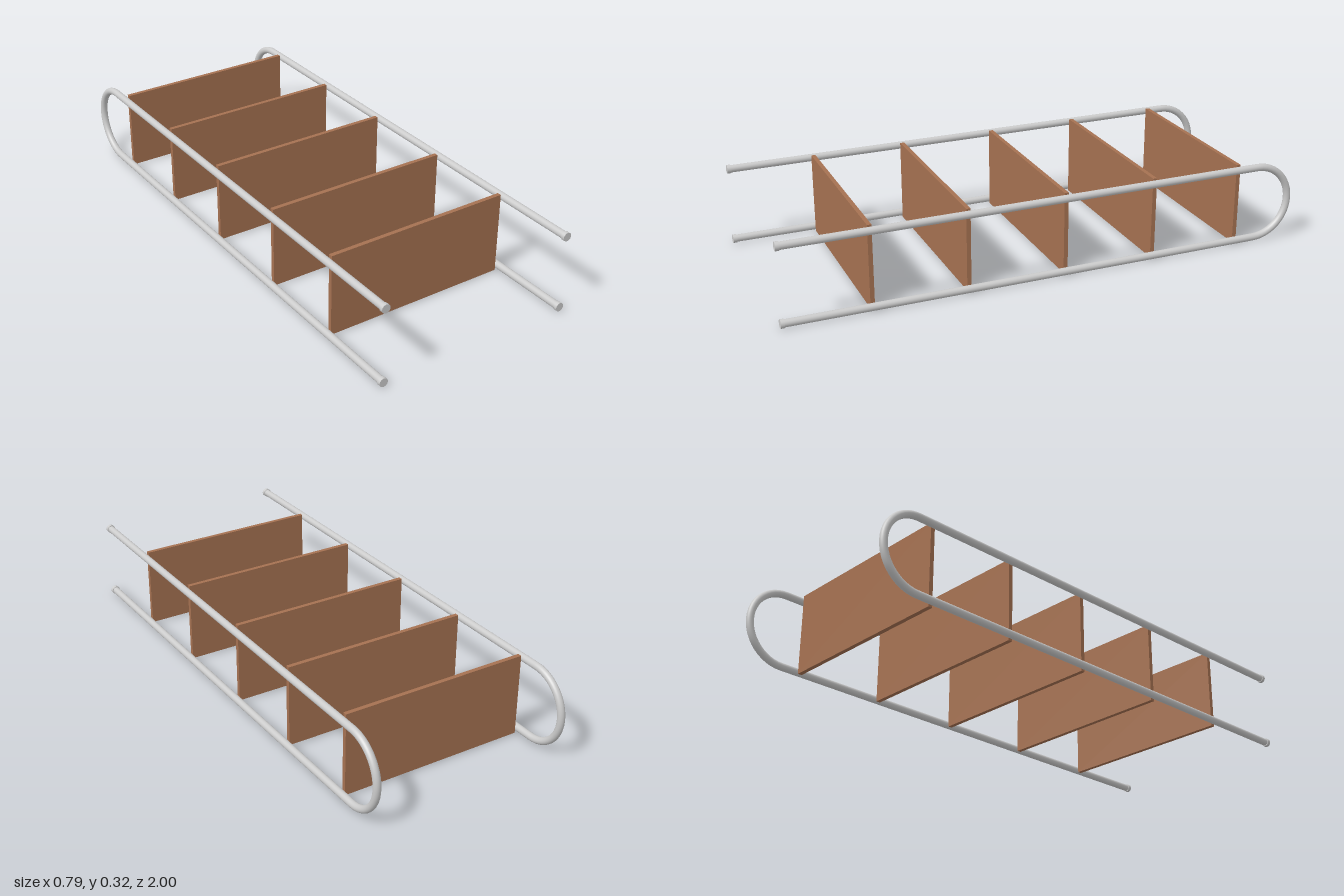
import * as THREE from 'three';

const RAIL_X = 0.378, LOW = 0.017, HIGH = 0.302;
const BEND = (HIGH - LOW) / 2, TUBE = 0.014;
const BEND_Z = -1 + TUBE + BEND;

const steel = new THREE.MeshStandardMaterial({ color: 0xcccccc });
const wood = new THREE.MeshStandardMaterial({ color: 0xa57151 });

function add(parent, geometry, material, name, x, y, z) {
  const mesh = new THREE.Mesh(geometry, material);
  mesh.name = name;
  mesh.position.set(x, y, z);
  parent.add(mesh);
  return mesh;
}

// Half circle joining the upper and lower rails, in the y-z plane
class BendCurve extends THREE.Curve {
  getPoint(t, target = new THREE.Vector3()) {
    const a = Math.PI * (0.5 - t);
    return target.set(0, BEND * Math.sin(a), -BEND * Math.cos(a));
  }
}

// One side frame: two straight rails, the rear bend and two end caps
function sideFrame(name, x) {
  const frame = new THREE.Group();
  frame.name = name;
  frame.position.x = x;
  const length = 0.99 - BEND_Z;
  const railGeo = new THREE.CylinderGeometry(TUBE, TUBE, length, 24, 1, true).rotateX(Math.PI / 2);
  const capGeo = new THREE.CylinderGeometry(0.0165, 0.0165, 0.014, 24).rotateX(Math.PI / 2);
  for (const [label, y] of [['lower', LOW], ['upper', HIGH]]) {
    add(frame, railGeo, steel, label + 'Rail', 0, y, BEND_Z + length / 2);
    add(frame, capGeo, steel, label + 'EndCap', 0, y, 0.993);
  }
  add(frame, new THREE.TubeGeometry(new BendCurve(), 24, TUBE, 24), steel,
    'rearBend', 0, (LOW + HIGH) / 2, BEND_Z);
  return frame;
}

export function createModel() {
  const model = new THREE.Group();
  model.name = 'shelfUnit';
  model.add(sideFrame('leftFrame', RAIL_X), sideFrame('rightFrame', -RAIL_X));

  // Shelf boards spanning between the frames
  const boardGeo = new THREE.BoxGeometry(0.722, 0.314, 0.016);
  [0.671, 0.314, -0.061, -0.417, -0.772].forEach((z, i) =>
    add(model, boardGeo, wood, 'shelf' + (i + 1), 0, 0.16, z));

  return model;
}
